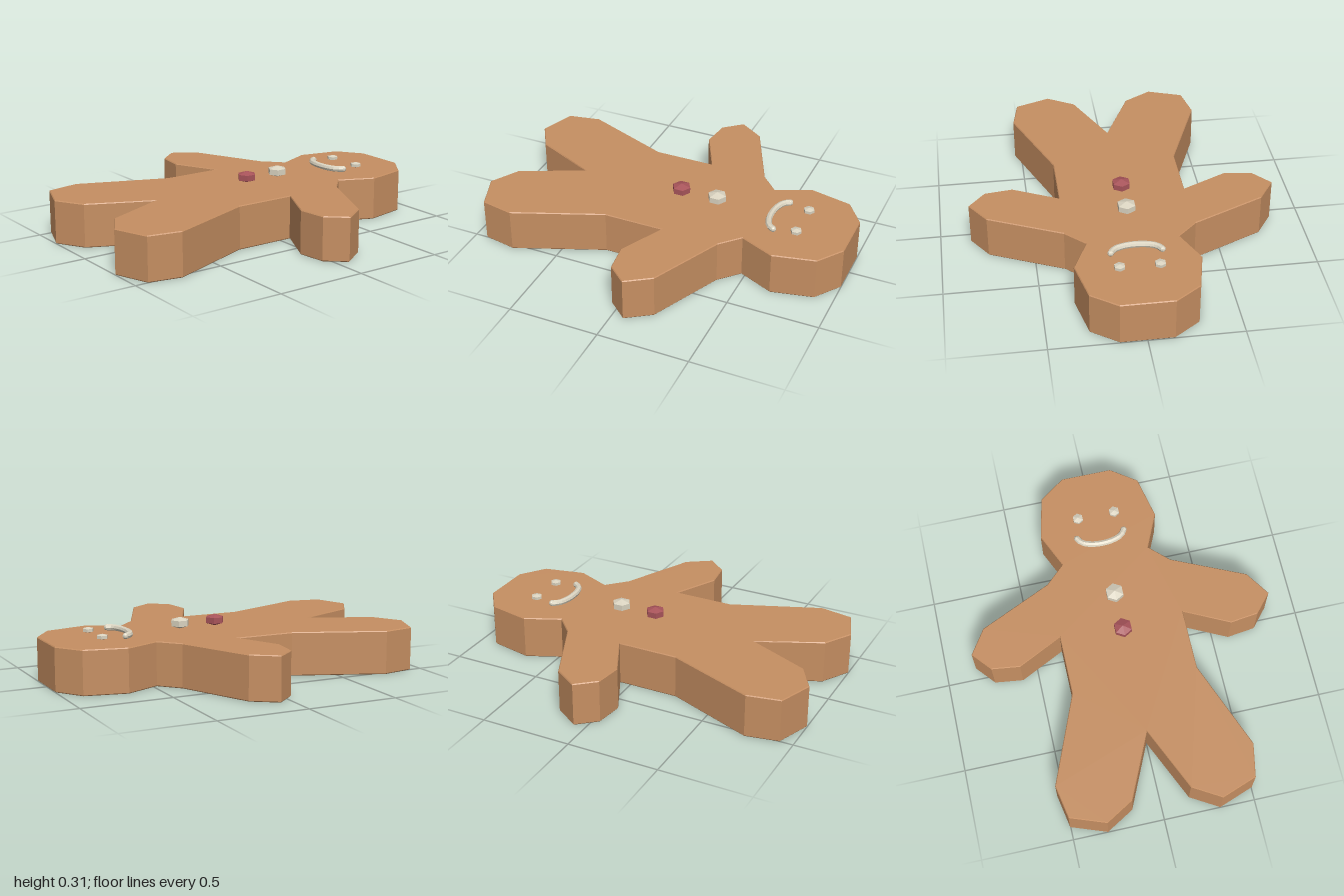
import * as THREE from 'three';

const biscuit = new THREE.MeshStandardMaterial({ name: 'biscuit brown', color: 0xc68f62 });
const icing = new THREE.MeshStandardMaterial({ name: 'cream icing', color: 0xdad3c0 });
const candy = new THREE.MeshStandardMaterial({ name: 'red candy', color: 0xa8545a });

// Flat-sided solid: drop shared normals so every facet stays crisp
function faceted(geometry) {
  const g = geometry.index ? geometry.toNonIndexed() : geometry;
  g.computeVertexNormals();
  return g;
}

function addMesh(group, name, geometry, material) {
  const mesh = new THREE.Mesh(geometry, material);
  mesh.name = name;
  group.add(mesh);
  return mesh;
}

// Six-sided drop with a pointed top and bottom and a straight band
function drop(radius, halfHeight) {
  const profile = [[0, -1], [1, -0.5], [1, 0.5], [0, 1]]
    .map(([r, y]) => new THREE.Vector2(r * radius, y * halfHeight));
  return faceted(new THREE.LatheGeometry(profile, 6));
}

export function createModel() {
  const model = new THREE.Group();
  model.name = 'gingerbreadBiscuit';

  // Body: half outline (x, z) from head to crotch, mirrored and extruded
  const half = [
    [0.14, -1], [0.28, -0.9], [0.33, -0.67], [0.245, -0.48],
    [0.35, -0.38], [0.745, -0.2], [0.835, -0.065], [0.745, 0.04], [0.59, 0.06],
    [0.345, -0.06], [0.345, 0.27], [0.537, 0.75], [0.503, 0.93],
    [0.31, 1], [0.157, 0.91], [0, 0.565],
  ];
  const mirrored = half.slice(0, -1).reverse().map(([x, z]) => [-x, z]);
  const outline = new THREE.Shape([...half, ...mirrored].map(([x, z]) => new THREE.Vector2(x, z)));
  const body = new THREE.ExtrudeGeometry(outline, {
    depth: 0.23, bevelEnabled: true, bevelSegments: 1,
    bevelThickness: 0.005, bevelSize: 0.004, bevelOffset: -0.004,
  });
  body.rotateX(Math.PI / 2).translate(0, 0.235, 0);
  addMesh(model, 'body', body, biscuit);

  // Buttons down the chest
  addMesh(model, 'upperButton', drop(0.051, 0.032), icing).position.set(0, 0.277, -0.235);
  addMesh(model, 'lowerButton', drop(0.051, 0.032), candy).position.set(0, 0.277, -0.025);

  // Eyes
  for (const [name, side] of [['leftEye', 1], ['rightEye', -1]]) {
    addMesh(model, name, drop(0.03, 0.016), icing).position.set(side * 0.104, 0.261, -0.725);
  }

  // Smile: a curved icing line with rounded ends
  const smile = new THREE.CatmullRomCurve3(
    [[-0.134, -0.607], [-0.112, -0.577], [-0.06, -0.556], [0, -0.55],
      [0.06, -0.556], [0.112, -0.577], [0.134, -0.607]]
      .map(([x, z]) => new THREE.Vector3(x, 0.26, z)));
  const mouth = new THREE.Group();
  mouth.name = 'mouth';
  addMesh(mouth, 'mouthLine', faceted(new THREE.TubeGeometry(smile, 12, 0.017, 8)), icing);
  for (const side of [-1, 1]) {
    addMesh(mouth, 'mouthEnd', faceted(new THREE.SphereGeometry(0.017, 8, 6)), icing)
      .position.set(side * 0.134, 0.26, -0.607);
  }
  model.add(mouth);

  return model;
}
